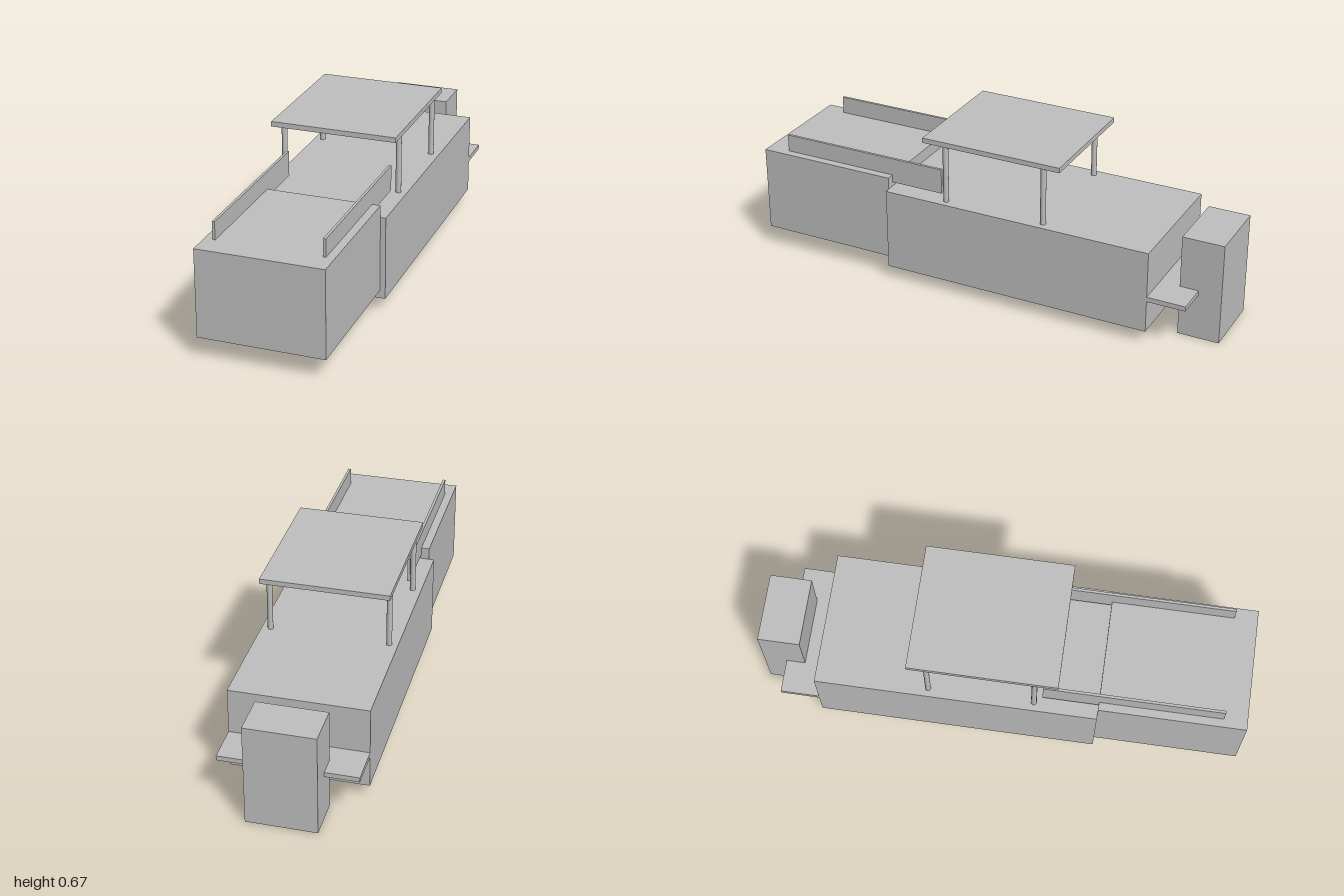
import * as THREE from 'three';

const grey = new THREE.MeshStandardMaterial({ color: 0xc0c0c0 });
grey.name = 'light grey';

// Box from its extents on each axis
function box(name, [x0, x1], [y0, y1], [z0, z1]) {
  const mesh = new THREE.Mesh(new THREE.BoxGeometry(x1 - x0, y1 - y0, z1 - z0), grey);
  mesh.name = name;
  mesh.position.set((x0 + x1) / 2, (y0 + y1) / 2, (z0 + z1) / 2);
  return mesh;
}

export function createModel() {
  const boat = new THREE.Group();
  boat.name = 'boat';

  // Hull, raised bow, stern platform and outboard motor
  boat.add(
    box('hull', [-0.278, 0.278], [0.057, 0.403], [-0.745, 0.405]),
    box('bow', [-0.256, 0.256], [0.09, 0.453], [0.405, 1]),
    box('swimPlatform', [-0.278, 0.278], [0.192, 0.212], [-0.905, -0.745]),
    box('outboardMotor', [-0.142, 0.142], [0, 0.43], [-1, -0.827]),
    box('canopyRoof', [-0.26, 0.26], [0.649, 0.67], [-0.36, 0.24])
  );

  // Bow rails and canopy posts, mirrored left and right
  const postGeometry = new THREE.CylinderGeometry(0.0115, 0.0115, 0.25, 12);
  for (const side of [-1, 1]) {
    const rail = box('bowRail', [-0.0055, 0.0055], [0.42, 0.526], [0.178, 0.905]);
    rail.position.x = side * 0.217;
    boat.add(rail);

    for (const z of [0.146, -0.284]) {
      const post = new THREE.Mesh(postGeometry, grey);
      post.name = 'canopyPost';
      post.position.set(side * 0.242, 0.525, z);
      boat.add(post);
    }
  }
  return boat;
}
